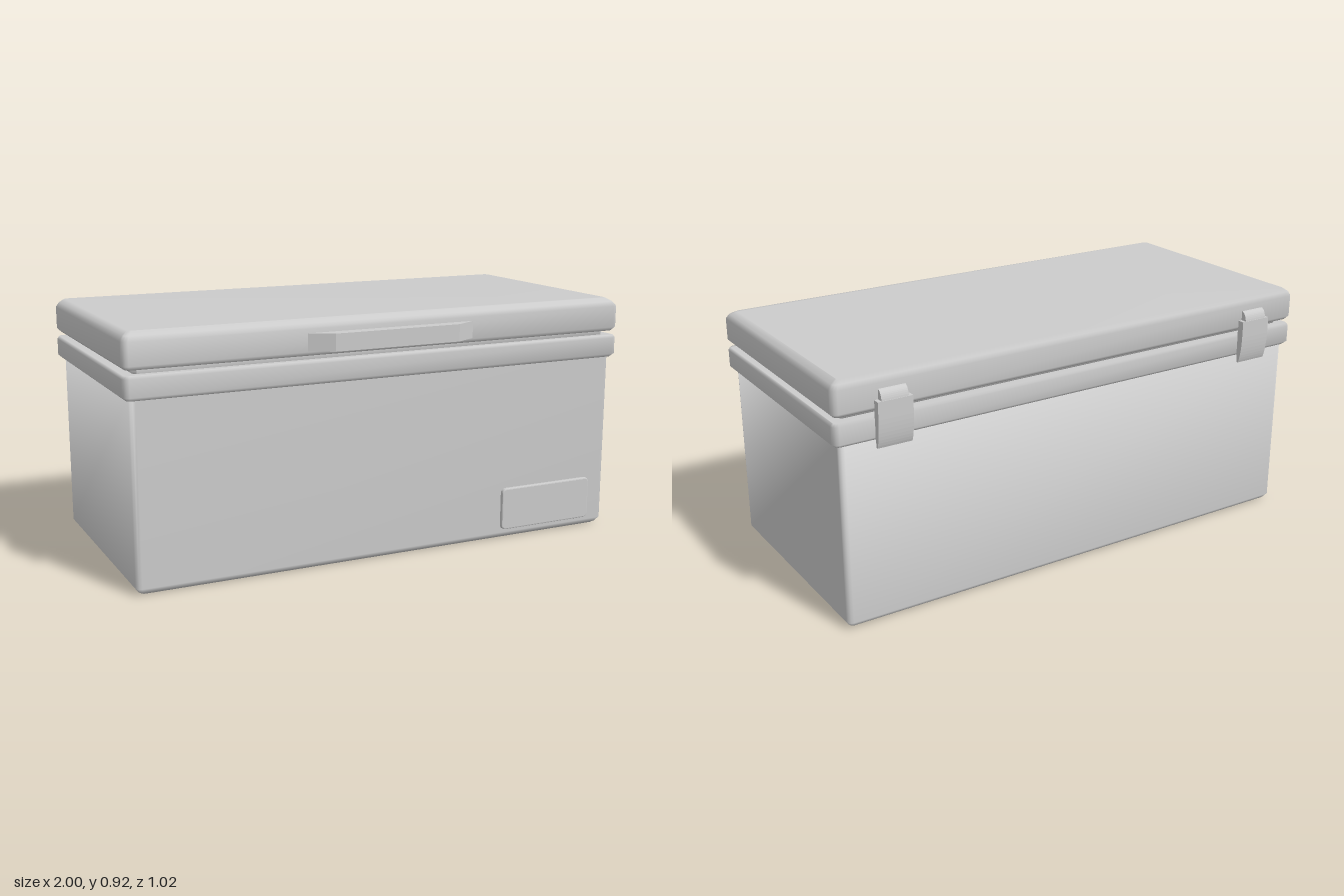
import * as THREE from 'three';

const material = new THREE.MeshStandardMaterial({ color: 0xcccccc, side: THREE.DoubleSide });

function addMesh(parent, name, geometry) {
  const mesh = new THREE.Mesh(geometry, material);
  mesh.name = name;
  parent.add(mesh);
  return mesh;
}

// Smooth bevelled box stacked from rounded rectangles.
// Each section is [y, half width, back z, front z, corner radius].
function bevelledBox(sections, steps = 3) {
  const positions = [], index = [];
  const ring = 4 * (steps + 1);
  for (const [y, hx, back, front, r] of sections) {
    const corners = [[hx - r, front - r], [-hx + r, front - r], [-hx + r, back + r], [hx - r, back + r]];
    corners.forEach(([cx, cz], c) => {
      for (let s = 0; s <= steps; s++) {
        const a = (c + s / steps) * Math.PI / 2;
        positions.push(cx + r * Math.cos(a), y, cz + r * Math.sin(a));
      }
    });
  }
  for (let k = 0; k < sections.length - 1; k++) {
    for (let i = 0; i < ring; i++) {
      const a = k * ring + i, b = k * ring + (i + 1) % ring;
      index.push(a, a + ring, b, b, a + ring, b + ring);
    }
  }
  // Flat caps
  const top = (sections.length - 1) * ring;
  for (let i = 1; i < ring - 1; i++) {
    index.push(0, i, i + 1, top, top + i + 1, top + i);
  }
  const geometry = new THREE.BufferGeometry();
  geometry.setAttribute('position', new THREE.Float32BufferAttribute(positions, 3));
  geometry.setIndex(index);
  geometry.computeVertexNormals();
  return geometry;
}

function roundedRect(w, h, r) {
  const s = new THREE.Shape();
  const x = w / 2, y = h / 2;
  s.absarc(x - r, y - r, r, 0, Math.PI / 2);
  s.absarc(-x + r, y - r, r, Math.PI / 2, Math.PI);
  s.absarc(-x + r, -y + r, r, Math.PI, Math.PI * 1.5);
  s.absarc(x - r, -y + r, r, Math.PI * 1.5, Math.PI * 2);
  return s;
}

// Side profile in (distance behind the centre, y), extruded across x.
function hingePart(shape, width) {
  const geometry = new THREE.ExtrudeGeometry(shape, { depth: width, bevelEnabled: false, curveSegments: 8 });
  geometry.translate(0, 0, -width / 2);
  geometry.rotateY(Math.PI / 2);
  return geometry;
}

function createHinge() {
  const hinge = new THREE.Group();
  hinge.name = 'hinge';
  // Narrow knuckle fixed to the lid
  const knuckle = new THREE.Shape();
  knuckle.moveTo(0.47, 0.8);
  knuckle.lineTo(0.507, 0.8);
  knuckle.lineTo(0.506, 0.832);
  knuckle.quadraticCurveTo(0.502, 0.864, 0.483, 0.869);
  knuckle.lineTo(0.47, 0.869);
  addMesh(hinge, 'hingeKnuckle', hingePart(knuckle, 0.1));
  // Wider curved cover hanging over the rim
  const cover = new THREE.Shape();
  cover.moveTo(0.481, 0.833);
  cover.lineTo(0.508, 0.833);
  cover.lineTo(0.508, 0.77);
  cover.quadraticCurveTo(0.507, 0.7, 0.492, 0.665);
  cover.lineTo(0.486, 0.665);
  cover.lineTo(0.481, 0.7);
  addMesh(hinge, 'hingeCover', hingePart(cover, 0.13));
  return hinge;
}

export function createModel() {
  const freezer = new THREE.Group();
  freezer.name = 'chestFreezer';

  // Cabinet with bevelled base
  addMesh(freezer, 'cabinet', bevelledBox([
    [0, 0.95, -0.44, 0.42, 0.012],
    [0.008, 0.962, -0.452, 0.432, 0.015],
    [0.026, 0.975, -0.466, 0.445, 0.02],
    [0.7, 0.975, -0.466, 0.445, 0.02],
  ]));

  // Rim around the opening
  addMesh(freezer, 'rim', bevelledBox([
    [0.689, 0.985, -0.468, 0.446, 0.015],
    [0.702, 1, -0.482, 0.46, 0.022],
    [0.765, 1, -0.482, 0.46, 0.022],
    [0.776, 0.992, -0.474, 0.453, 0.015],
  ]));

  // Recessed seal between rim and lid
  addMesh(freezer, 'seal', bevelledBox([
    [0.77, 0.955, -0.441, 0.425, 0.015],
    [0.805, 0.955, -0.441, 0.425, 0.015],
  ]));

  // Lid with a deeper slope along the front edge
  addMesh(freezer, 'lid', bevelledBox([
    [0.793, 0.985, -0.468, 0.446, 0.015],
    [0.808, 1, -0.482, 0.46, 0.022],
    [0.89, 1, -0.482, 0.46, 0.022],
    [0.908, 0.988, -0.475, 0.444, 0.018],
    [0.921, 0.968, -0.464, 0.418, 0.014],
  ]));

  // Tapered grip on the lid front
  const gripShape = new THREE.Shape();
  gripShape.moveTo(-0.35, -0.45);
  gripShape.lineTo(0.35, -0.45);
  gripShape.lineTo(0.335, -0.46);
  gripShape.lineTo(0.25, -0.508);
  gripShape.lineTo(-0.25, -0.508);
  gripShape.lineTo(-0.335, -0.46);
  const grip = new THREE.ExtrudeGeometry(gripShape, { depth: 0.064, bevelEnabled: false });
  grip.rotateX(-Math.PI / 2);
  grip.translate(0, 0.811, 0);
  addMesh(freezer, 'lidHandle', grip);

  // Control panel low on the front
  const panel = new THREE.ExtrudeGeometry(roundedRect(0.395, 0.155, 0.013), {
    depth: 0.02, bevelThickness: 0.004, bevelSize: 0.005, bevelSegments: 2, curveSegments: 4,
  });
  addMesh(freezer, 'controlPanel', panel).position.set(0.692, 0.123, 0.436);

  // Rear hinges
  for (const side of [-1, 1]) {
    const hinge = createHinge();
    hinge.position.x = side * 0.785;
    freezer.add(hinge);
  }
  return freezer;
}
